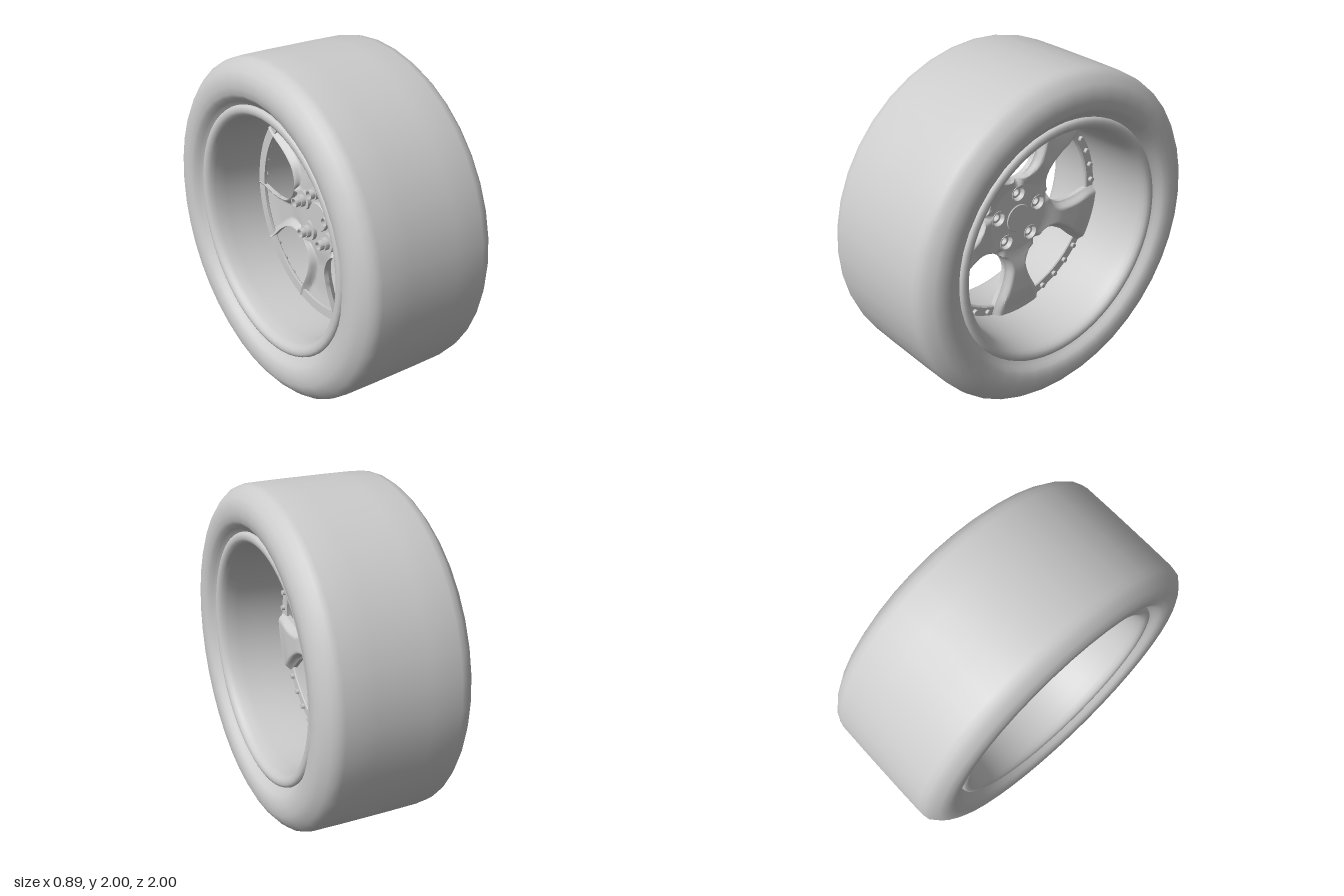
import * as THREE from 'three';
import { toCreasedNormals } from 'three/addons/utils/BufferGeometryUtils.js';

const grey = new THREE.MeshStandardMaterial({ color: 0xcccccc });
const shell = new THREE.MeshStandardMaterial({ color: 0xcccccc, side: THREE.DoubleSide });
const RAD = Math.PI / 180;
const STEP = 72 * RAD; // five spokes, five windows

function add(parent, name, geometry, material = grey) {
  const mesh = new THREE.Mesh(geometry, material);
  mesh.name = name;
  parent.add(mesh);
  return mesh;
}

// Turned part around the z axis; profile points are [radius, z]
function turned(points, segments, crease = 0.6) {
  const g = new THREE.LatheGeometry(points.map(([r, z]) => new THREE.Vector2(r, z)), segments);
  g.rotateX(Math.PI / 2);
  g.deleteAttribute('uv');
  return toCreasedNormals(g, crease);
}

// Mirrors a half profile (z >= 0, from centre outwards) to both sides
const mirrored = (half) => [...half.map(([r, z]) => [r, -z]).reverse(), ...half];

// Flat plate in the wheel plane with holes, from z0 to z1
function plate(radius, holes, z0, z1) {
  const shape = new THREE.Shape().absarc(0, 0, radius, 0, Math.PI * 2);
  for (const [x, y, r] of holes) shape.holes.push(new THREE.Path().absarc(x, y, r, 0, Math.PI * 2, true));
  return new THREE.ExtrudeGeometry(shape, { depth: z1 - z0, bevelEnabled: false, curveSegments: 60 })
    .translate(0, 0, z0);
}

const smooth = (t) => THREE.MathUtils.smoothstep(t, 0, 1);
const TIP = 0.25; // inner end of each window

// Half angle of a spoke at radius r: full sector at the hub, waisted, flared at the rim
function spokeHalfAngle(r) {
  const t = THREE.MathUtils.clamp((r - TIP) / 0.12, 0, 1);
  const flare = 3.5 * smooth((r - 0.4) / 0.22);
  return (36 - 22.8 * Math.sqrt(1 - (1 - t) ** 2) + flare) * RAD;
}

// One spoke with a raised rib, sloped shoulders and a hollow back, lofted outwards from the hub
function spokeGeometry() {
  const radii = [0.21, 0.23];
  for (let i = 0; i <= 12; i++) radii.push(TIP + 0.12 * (i / 12) ** 2);
  for (let i = 1; i <= 10; i++) radii.push(0.37 + 0.28 * (i / 10));
  const N = 24, loop = 2 * (N + 1), pos = [], index = [];
  for (const r of radii) {
    const half = spokeHalfAngle(r);
    const rib = 0.01 + 0.014 * smooth((r - 0.21) / 0.15) - 0.014 * smooth((r - 0.5) / 0.15);
    for (let k = 0; k < loop; k++) {
      const front = k <= N;
      const u = front ? -1 + 2 * k / N : 1 - 2 * (k - N - 1) / N;
      const edge = Math.hypot(half * r * (1 - Math.abs(u)), Math.max(0, TIP - r));
      const z = THREE.MathUtils.lerp(-0.02, rib, smooth(edge / 0.04));
      pos.push(r * Math.cos(u * half), r * Math.sin(u * half), front ? z : z - 0.03);
    }
  }
  for (let j = 0; j < radii.length - 1; j++) {
    for (let k = 0; k < loop; k++) {
      const a = j * loop + k, b = j * loop + (k + 1) % loop;
      index.push(a, a + loop, b + loop, a, b + loop, b);
    }
  }
  const g = new THREE.BufferGeometry();
  g.setAttribute('position', new THREE.Float32BufferAttribute(pos, 3));
  g.setIndex(index);
  return toCreasedNormals(g, 0.8);
}

export function createModel() {
  const model = new THREE.Group();
  model.name = 'wheel';
  const wheel = new THREE.Group(); // built facing +z, turned to face +x
  wheel.name = 'wheelAssembly';
  wheel.rotation.y = Math.PI / 2;
  wheel.position.y = 1;
  model.add(wheel);

  // Tyre with rounded shoulders, flat sidewalls and a bead sunk towards the rim
  add(wheel, 'tyre', turned(mirrored([
    [1, 0.15], [0.998, 0.33], [0.99, 0.368], [0.965, 0.397], [0.93, 0.425], [0.89, 0.444],
    [0.84, 0.444], [0.80, 0.438], [0.78, 0.425], [0.762, 0.405], [0.748, 0.39], [0.72, 0.37],
  ]), 40, 0.7), shell);

  // Rim barrel with a rolled lip at each side, set in from the sidewalls
  add(wheel, 'rim', turned(mirrored([
    [0.645, 0.03], [0.652, 0.28], [0.66, 0.35], [0.67, 0.378], [0.682, 0.394], [0.698, 0.402],
    [0.716, 0.402], [0.73, 0.396], [0.735, 0.384], [0.735, 0.36],
  ]), 64, 0.9), shell);

  // Inner ring carrying the rim bolts
  add(wheel, 'boltRing', turned([
    [0.592, -0.02], [0.585, -0.026], [0.585, -0.042], [0.65, -0.042], [0.65, -0.02], [0.592, -0.02],
  ], 64, 0.5), shell);

  // Hub plate with holes for the lugs
  const lugs = [0, 1, 2, 3, 4].map((k) => {
    const a = Math.PI / 2 + k * STEP;
    return [0.16 * Math.cos(a), 0.16 * Math.sin(a), 0.048];
  });
  add(wheel, 'hubPlate', plate(0.21, lugs, -0.02, 0.01));

  // Centre cap, front and back
  add(wheel, 'centreCap', turned([
    [0, -0.045], [0.085, -0.045], [0.088, -0.04], [0.088, 0.01], [0.084, 0.015], [0, 0.015],
  ], 40, 0.5));

  const spoke = spokeGeometry();
  // Hollow lug with a collar in front and a stepped sleeve behind
  const lug = turned([
    [0.022, -0.105], [0.03, -0.105], [0.03, -0.075], [0.038, -0.075], [0.038, -0.045], [0.06, -0.045],
    [0.06, -0.021], [0.05, -0.021], [0.05, 0.014], [0.044, 0.014], [0.036, -0.012], [0.022, -0.012],
    [0.022, -0.105],
  ], 18, 0.5);
  const bolt = new THREE.CylinderGeometry(0.016, 0.019, 0.022, 6).rotateX(Math.PI / 2);

  for (let k = 0; k < 5; k++) {
    add(wheel, 'spoke', spoke).rotation.z = -Math.PI / 2 + k * STEP;
    add(wheel, 'lug', lug, shell).position.set(lugs[k][0], lugs[k][1], 0);
    // Four small bolts across each window
    for (const offset of [-15, -5, 5, 15]) {
      const a = Math.PI / 2 + k * STEP + offset * RAD;
      const b = add(wheel, 'rimBolt', bolt);
      b.position.set(0.62 * Math.cos(a), 0.62 * Math.sin(a), -0.012);
      b.rotation.z = a;
    }
  }
  return model;
}
